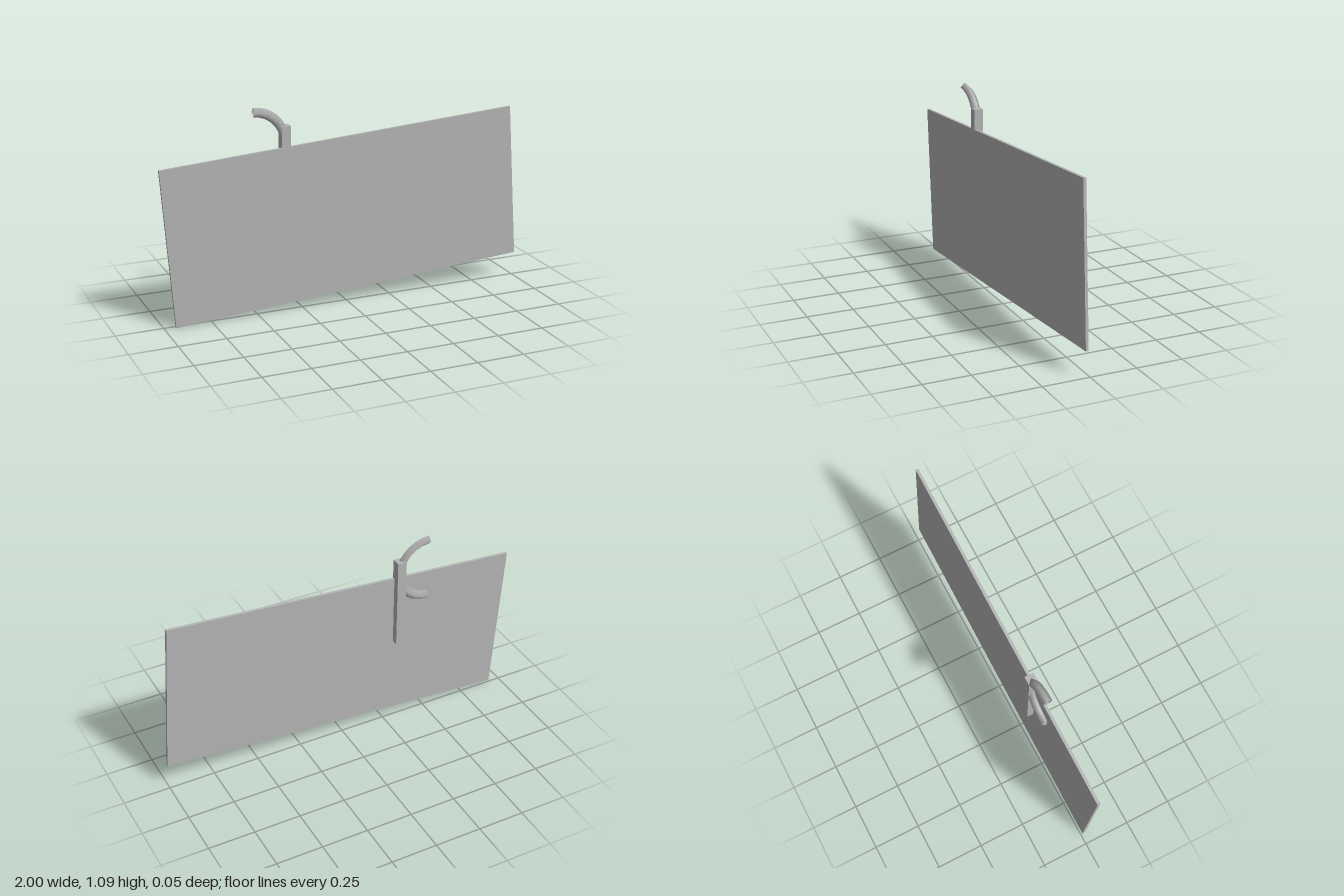
import * as THREE from 'three';

export function createModel() {
  const model = new THREE.Group();
  const grey = new THREE.MeshStandardMaterial({ color: 0xb4b4b4, side: THREE.DoubleSide });
  grey.name = 'grey';

  function add(name, geometry, x, y, z, turn = 0) {
    const mesh = new THREE.Mesh(geometry, grey);
    mesh.name = name;
    mesh.position.set(x, y, z);
    mesh.rotation.z = turn;
    model.add(mesh);
  }

  // Thin, slightly tilted board
  add('panel', new THREE.BoxGeometry(1.945, 0.833, 0.015), 0, 0.484, 0.0175, 0.07);

  // Upright square post at the back, rising above the board
  add('post', new THREE.BoxGeometry(0.05, 0.5, 0.049), -0.335, 0.737, -0.0003);

  // Half ring with a diamond section, bulging into the post and open to the side
  add('hook', new THREE.TorusGeometry(0.166, 0.025, 4, 14, Math.PI), -0.5, 0.902, 0, -Math.PI / 2);

  return model;
}
